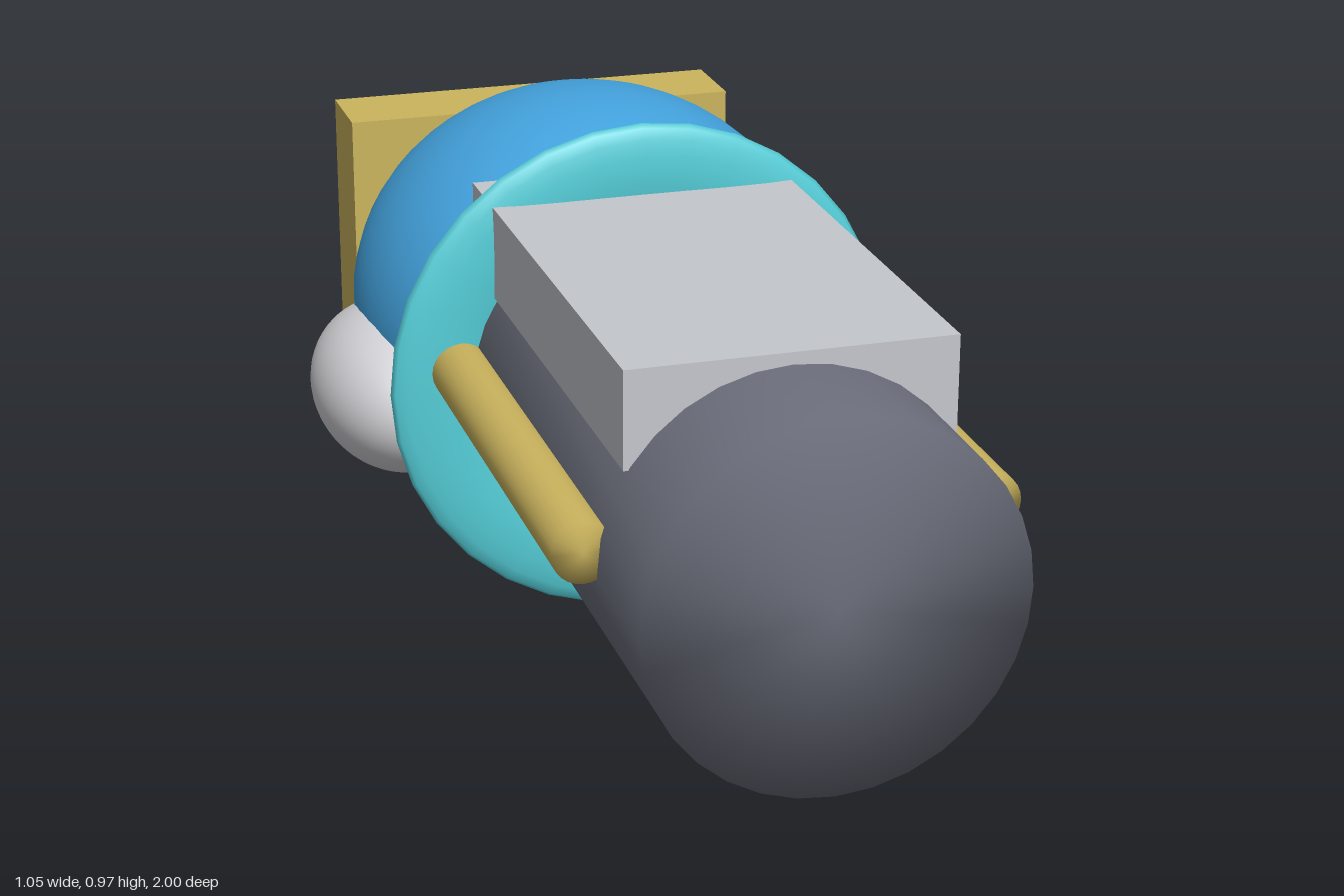
import * as THREE from 'three';
import { mergeVertices } from 'three/addons/utils/BufferGeometryUtils.js';

const CX = 0.04; // shared centre line of the body

function material(name, color) {
  const m = new THREE.MeshStandardMaterial({ color });
  m.name = name;
  return m;
}

// Cylinder lying along z, with normals blended over its rims
function rodGeometry(radius, length, sides) {
  const g = new THREE.CylinderGeometry(radius, radius, length, sides);
  g.rotateX(Math.PI / 2);
  g.deleteAttribute('normal');
  g.deleteAttribute('uv');
  const merged = mergeVertices(g, 1e-4);
  merged.computeVertexNormals();
  return merged;
}

function ellipsoidGeometry(rx, ry, rz) {
  return new THREE.SphereGeometry(1, 48, 32).scale(rx, ry, rz);
}

export function createModel() {
  const model = new THREE.Group();
  model.name = 'model';

  const charcoal = material('charcoal', 0x6b6e7b);
  const teal = material('teal', 0x54ccd6);
  const blue = material('blue', 0x43a2dd);
  const brass = material('brass', 0xcbb45e);
  const silver = material('silver', 0xc4c7cc);
  const paleGrey = material('paleGrey', 0xd2d2d6);

  const add = (name, geometry, mat, x, y, z) => {
    const mesh = new THREE.Mesh(geometry, mat);
    mesh.name = name;
    mesh.position.set(x, y, z);
    model.add(mesh);
    return mesh;
  };

  // Long barrel pointing forward
  add('barrel', rodGeometry(0.333, 1.15, 32), charcoal, CX, 0.49, 0.425);

  // Flattened collar around the barrel
  const collar = new THREE.TorusGeometry(0.39, 0.095, 16, 32).scale(1, 1, 0.27);
  add('collar', collar, teal, CX, 0.49, -0.11);

  // Rounded rear body
  add('rearBody', ellipsoidGeometry(0.463, 0.42, 0.5), blue, CX, 0.51, -0.49);

  // Slab along the top of the barrel
  add('topSlab', new THREE.BoxGeometry(0.577, 0.175, 1.005), silver, CX, 0.757, 0.258);

  // Rods on both sides of the barrel
  for (const side of [-1, 1]) {
    add(side < 0 ? 'rightRod' : 'leftRod', rodGeometry(0.055, 0.94, 24), brass,
      CX + side * 0.355, 0.533, 0.29);
  }

  // Plate closing the back
  add('backPlate', new THREE.BoxGeometry(0.795, 0.533, 0.172), brass, CX, 0.533, -0.914);

  // Bulge on the right flank
  add('sideBulge', ellipsoidGeometry(0.167, 0.16, 0.255), paleGrey, -0.358, 0.375, -0.455);

  return model;
}
